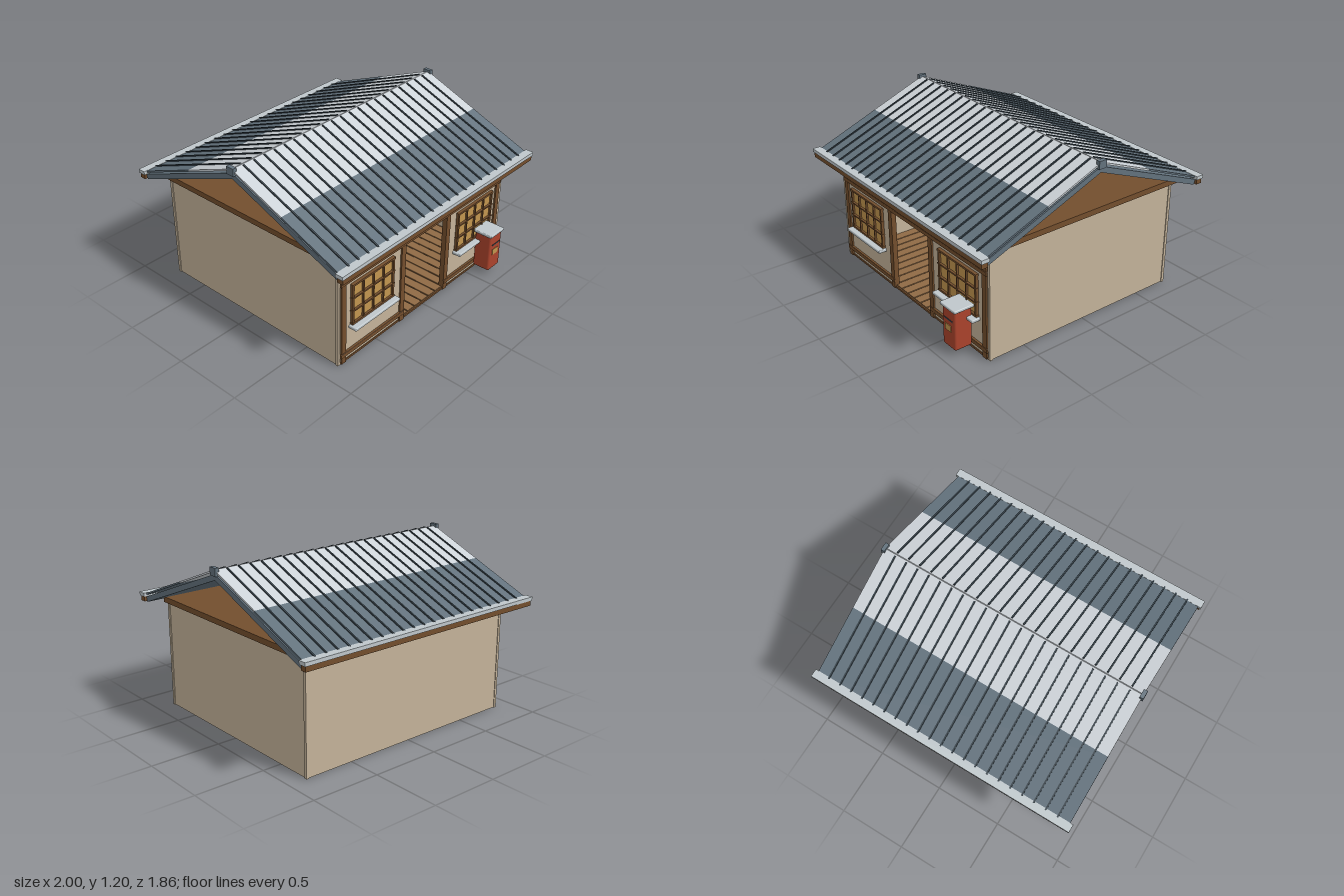
import * as THREE from 'three';
import { RoundedBoxGeometry } from 'three/addons/geometries/RoundedBoxGeometry.js';

const mat = (name, color) => {
  const m = new THREE.MeshStandardMaterial({ color });
  m.name = name;
  return m;
};

export function createModel() {
  const M = {
    wall: mat('plaster', 0xc4b39a),
    wood: mat('dark wood', 0x734e2d),
    plank: mat('light wood', 0x8f6a45),
    slate: mat('slate blue', 0x63727d),
    seam: mat('dark seam', 0x36424a),
    light: mat('light roof metal', 0xcdd3d8),
    silver: mat('silver', 0xbfc7cb),
    amber: mat('amber glass', 0xc2954f),
    red: mat('red paint', 0xab432c),
  };
  const model = new THREE.Group();
  model.name = 'cottage';

  const group = (name, parent = model) => {
    const g = new THREE.Group();
    g.name = name;
    parent.add(g);
    return g;
  };
  // Box given by its limits on each axis
  const box = (parent, name, m, x0, x1, y0, y1, z0, z1, r = 0) => {
    const w = x1 - x0, h = y1 - y0, d = z1 - z0;
    const geo = r ? new RoundedBoxGeometry(w, h, d, 3, r) : new THREE.BoxGeometry(w, h, d);
    const mesh = new THREE.Mesh(geo, m);
    mesh.name = name;
    mesh.position.set((x0 + x1) / 2, (y0 + y1) / 2, (z0 + z1) / 2);
    parent.add(mesh);
    return mesh;
  };

  // Floor and walls
  const house = group('house');
  box(house, 'floorBase', M.wood, -0.85, 0.85, 0, 0.015, -0.75, 0.775);
  for (let i = 0; i < 22; i++) {
    const x = -0.84 + i * 0.0765;
    box(house, 'floorPlank', M.plank, x, x + 0.068, 0.015, 0.022, -0.74, 0.765);
  }
  box(house, 'backWall', M.wall, -0.86, 0.86, 0.002, 0.77, -0.765, -0.745);
  for (const s of [-1, 1]) {
    box(house, 'sideWall', M.wall, s * 0.8575 - 0.0075, s * 0.8575 + 0.0075, 0.002, 0.77, -0.755, 0.77);
    box(house, 'frontWall', M.wall, s * 0.545 - 0.305, s * 0.545 + 0.305, 0.002, 0.77, 0.75, 0.77);
    for (const z of [-0.757, 0.765])
      box(house, 'cornerTrim', M.wall, s * 0.86 - 0.01, s * 0.86 + 0.01, 0, 0.77, z - 0.012, z + 0.01);
  }
  box(house, 'ceiling', M.wood, -0.885, 0.885, 0.77, 0.81, -0.8, 0.8);

  // Timber framing on the front
  const frame = group('timberFrame');
  for (const x of [-0.82, -0.24, 0.24, 0.82])
    box(frame, 'post', M.wood, x - 0.021, x + 0.021, 0, 0.77, 0.745, 0.782);
  for (const y of [0.62, 0.735])
    box(frame, 'rail', M.wood, -0.85, 0.85, y - 0.015, y + 0.015, 0.765, 0.787, 0.004);
  for (const s of [-1, 1])
    box(frame, 'lowerRail', M.wood, s * 0.535 - 0.315, s * 0.535 + 0.315, 0.048, 0.08, 0.765, 0.787, 0.004);
  box(frame, 'doorHeader', M.wood, -0.24, 0.24, 0.6, 0.77, 0.752, 0.773);

  // Lattice windows with sills
  for (const s of [-1, 1]) {
    const win = group('window');
    win.position.x = s * 0.545;
    box(win, 'pane', M.amber, -0.195, 0.195, 0.27, 0.575, 0.768, 0.777);
    for (let i = 0; i <= 4; i++) {
      const x = -0.195 + i * 0.0975, t = i % 4 ? 0.005 : 0.008;
      box(win, 'mullion', M.wood, x - t, x + t, 0.265, 0.575, 0.77, 0.79);
    }
    for (let i = 0; i <= 3; i++) {
      const y = 0.275 + i * 0.098, t = i % 3 ? 0.005 : 0.007;
      box(win, 'crossbar', M.wood, -0.206, 0.206, y - t, y + t, 0.77, 0.793);
    }
    box(win, 'sill', M.silver, -0.218, 0.218, 0.243, 0.265, 0.765, 0.832, 0.006);
  }

  // Kitchen counter against the back wall
  const kitchen = group('kitchen');
  box(kitchen, 'counterBody', M.wood, -0.6, 0.6, 0.02, 0.26, -0.745, -0.42);
  box(kitchen, 'counterTop', M.wood, -0.62, 0.62, 0.26, 0.285, -0.745, -0.4);
  for (let i = -2; i <= 2; i++) {
    const x = i * 0.205;
    box(kitchen, 'drawer', M.plank, x - 0.092, x + 0.092, 0.17, 0.245, -0.42, -0.411);
    box(kitchen, 'drawerPull', M.wood, x - 0.02, x + 0.02, 0.213, 0.221, -0.411, -0.4);
  }
  box(kitchen, 'cookPlate', M.seam, -0.21, 0.04, 0.285, 0.294, -0.68, -0.45);
  box(kitchen, 'tapBase', M.seam, 0.09, 0.115, 0.285, 0.33, -0.68, -0.655);
  box(kitchen, 'tapSpout', M.seam, 0.09, 0.15, 0.3, 0.312, -0.68, -0.62);
  box(kitchen, 'cup', M.silver, 0.19, 0.215, 0.285, 0.312, -0.62, -0.595);

  // Sloped boxes: top surface runs from (z0, y0) down to (z1, y1)
  const sloped = (parent, name, m, x, w, z0, y0, z1, y1, t) => {
    const a = Math.atan2(y0 - y1, z1 - z0);
    const mesh = new THREE.Mesh(new THREE.BoxGeometry(w, t, Math.hypot(z1 - z0, y1 - y0)), m);
    mesh.name = name;
    mesh.rotation.x = a;
    mesh.position.set(x, (y0 + y1) / 2 - Math.cos(a) * t / 2, (z0 + z1) / 2 - Math.sin(a) * t / 2);
    parent.add(mesh);
  };
  const roofY = z => 1.185 - 0.4 * z;

  // Two matching roof halves
  for (const s of [1, -1]) {
    const roof = group(s > 0 ? 'frontRoof' : 'backRoof');
    if (s < 0) roof.rotation.y = Math.PI;
    sloped(roof, 'roofDeck', M.slate, 0, 1.95, 0, 1.155, 0.885, 0.806, 0.038);
    sloped(roof, 'upperSheet', M.light, 0, 1.956, 0.003, roofY(0.003), 0.42, roofY(0.42), 0.012);
    sloped(roof, 'lowerSheet', M.slate, 0, 1.956, 0.42, roofY(0.42), 0.895, roofY(0.895), 0.012);
    for (let i = 1; i < 22; i++)
      sloped(roof, 'sheetSeam', M.seam, -0.978 + i * 0.0889, 0.011,
        0.015, roofY(0.015) + 0.008, 0.885, roofY(0.885) + 0.008, 0.012);
    box(roof, 'gutter', M.silver, -1, 1, 0.812, 0.838, 0.872, 0.93);
    box(roof, 'eaveBeam', M.wood, -0.992, 0.992, 0.775, 0.813, 0.88, 0.924);
  }
  for (const s of [-1, 1])
    box(model, 'ridgeCap', M.slate, s * 0.977 - 0.014, s * 0.977 + 0.014, 1.145, 1.2, -0.03, 0.03);

  // Letter box by the right-hand window
  const post = group('letterBox');
  box(post, 'body', M.red, 0.567, 0.703, 0.04, 0.328, 0.788, 0.92, 0.014);
  box(post, 'lid', M.silver, 0.555, 0.715, 0.324, 0.345, 0.778, 0.93, 0.006);
  box(post, 'slot', M.seam, 0.59, 0.68, 0.243, 0.252, 0.915, 0.923);
  box(post, 'label', M.amber, 0.6, 0.662, 0.165, 0.21, 0.916, 0.924);

  return model;
}
